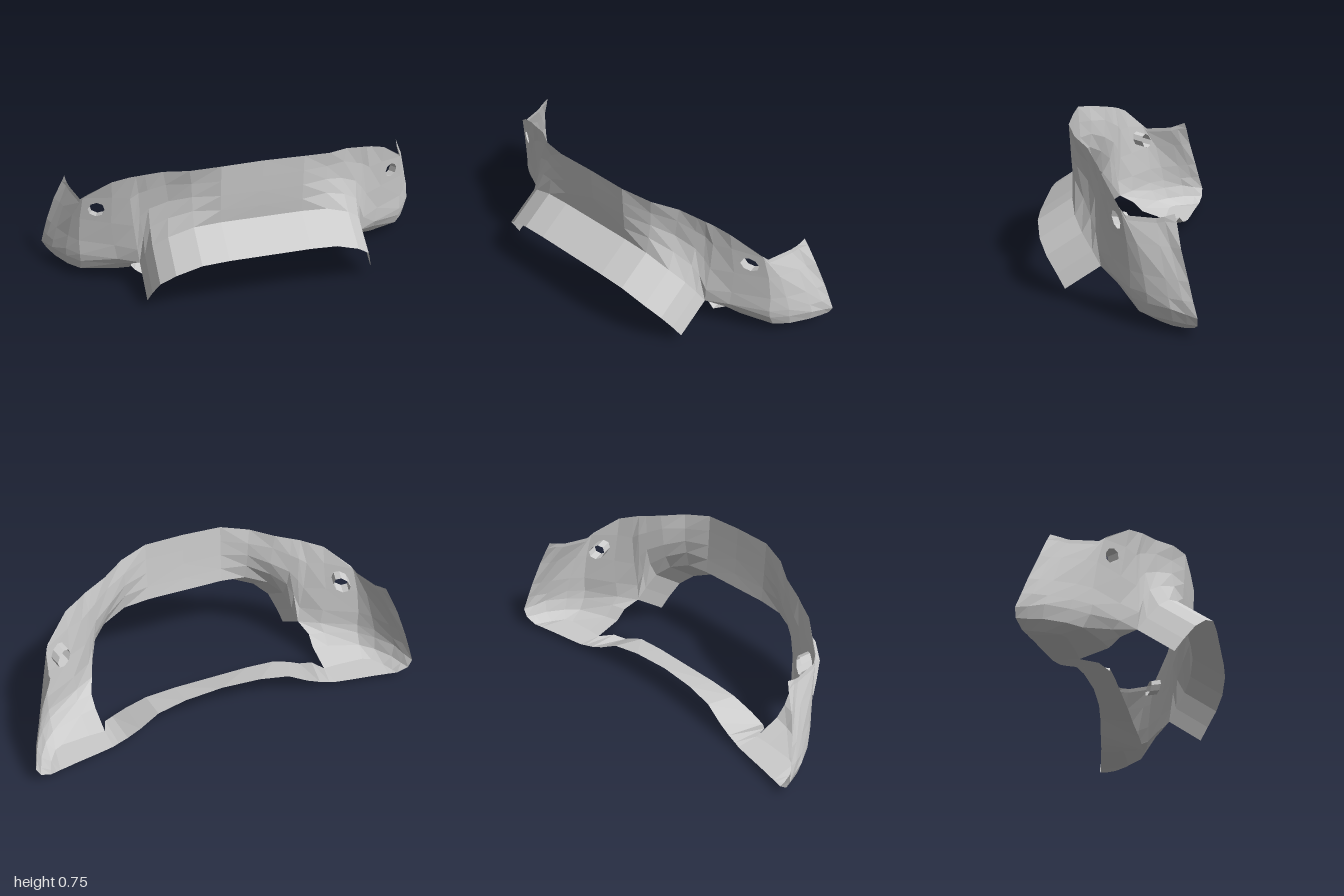
import * as THREE from 'three';

const material = new THREE.MeshStandardMaterial({ color: 0xcccccc, flatShading: true, side: THREE.DoubleSide });

const V = (p) => new THREE.Vector3(...p);

// Point inside a four-cornered cell; u runs across the columns, v down the rows
function inCell([a, b, c, d], u, v) {
  return V(a).lerp(V(d), u).lerp(V(b).lerp(V(c), u), v);
}

// Collects quads and turns them into a mesh, on one side or mirrored
function makeMesh(name, quads, sign) {
  const pos = [];
  for (const [a, b, c, d] of quads) {
    const tris = sign > 0 ? [a, b, c, a, c, d] : [a, c, b, a, d, c];
    for (const p of tris) pos.push(p[0] * sign, p[1], p[2]);
  }
  const g = new THREE.BufferGeometry();
  g.setAttribute('position', new THREE.Float32BufferAttribute(pos, 3));
  g.computeVertexNormals();
  const mesh = new THREE.Mesh(g, material);
  mesh.name = name;
  return mesh;
}

// Skin between neighbouring columns of points, leaving out one cell if asked
function skin(cols, skip = () => false) {
  const quads = [];
  for (let i = 0; i < cols.length - 1; i++)
    for (let j = 0; j < cols[i].length - 1; j++)
      if (!skip(i, j)) quads.push([cols[i][j], cols[i][j + 1], cols[i + 1][j + 1], cols[i + 1][j]]);
  return quads;
}

// Hood: columns from the upper edge down to the opening, centre outwards
const hood = [
  [[0, .745, .245], [0, .66, .24], [0, .58, .235], [0, .5, .228], [0, .43, .22]],
  [[.2, .74, .243], [.2, .66, .238], [.2, .58, .233], [.2, .5, .227], [.2, .43, .22]],
  [[.34, .715, .2], [.33, .64, .19], [.33, .57, .19], [.33, .5, .2], [.33, .42, .215]],
  [[.45, .69, .13], [.44, .62, .13], [.43, .53, .13], [.44, .45, .15], [.45, .37, .19]],
  [[.53, .67, .1], [.52, .58, .09], [.52, .48, .09], [.52, .39, .11], [.52, .31, .15]],
  [[.57, .66, .085], [.56, .56, .07], [.56, .43, .07], [.55, .33, .085], [.55, .235, .1]],
];

// Wing front: columns from the upper edge down and under to the rear edge
const wingFront = [
  [[.6, .65, .07], [.6, .53, .06], [.59, .38, .06], [.58, .25, .07], [.57, .17, .06],
    [.6, .125, -.01], [.6, .075, -.06], [.6, .03, -.19], [.6, .03, -.31]],
  [[.68, .62, .04], [.68, .53, .025], [.69, .38, .005], [.68, .25, 0], [.67, .17, 0],
    [.68, .125, -.03], [.68, .07, -.075], [.68, .03, -.19], [.68, .03, -.325]],
  [[.8, .52, -.04], [.81, .505, -.05], [.83, .38, -.075], [.84, .25, -.09], [.84, .17, -.09],
    [.84, .125, -.1], [.84, .065, -.13], [.82, .03, -.2], [.8, .03, -.345]],
];

// Wing side: columns going back to the rear rim
const wingSide = [
  [[.82, .49, -.07], [.825, .47, -.075], [.86, .38, -.12], [.885, .25, -.15], [.9, .17, -.165],
    [.9, .125, -.17], [.895, .065, -.19], [.86, .03, -.22], [.85, .03, -.355]],
  [[.85, .49, -.2], [.855, .47, -.205], [.89, .38, -.22], [.93, .25, -.245], [.95, .17, -.26],
    [.96, .125, -.27], [.945, .065, -.28], [.9, .025, -.28], [.88, .03, -.36]],
  [[.86, .5, -.235], [.865, .48, -.24], [.9, .38, -.265], [.95, .25, -.3], [.975, .17, -.32],
    [.98, .11, -.335], [.965, .06, -.34], [.92, .025, -.335], [.9, .03, -.365]],
  [[.865, .515, -.28], [.88, .48, -.29], [.925, .38, -.31], [.965, .25, -.345], [.985, .17, -.365],
    [1, .1, -.385], [.98, .06, -.385], [.93, .03, -.37], [.93, .03, -.37]],
];

// Lower bar: rear and front edge points, centre outwards
const bar = [
  [[0, .14, -.24], [0, .1, -.1]],
  [[.2, .135, -.25], [.2, .1, -.1]],
  [[.35, .12, -.27], [.35, .09, -.1]],
  [[.45, .07, -.285], [.45, .04, -.08]],
  [[.52, .045, -.295], [.52, 0, -.07]],
  [[.57, .035, -.303], [.57, .02, -.11]],
  [[.6, .03, -.31], [.6, .03, -.19]],
];

export function createModel() {
  const model = new THREE.Group();
  model.name = 'cowl';

  const wing = [...wingFront, ...wingSide];
  const hoodCols = [...hood, wingFront[0].slice(0, 5)];
  const visor = hoodCols.map((col) => {
    const [x, y, z] = col[4];
    return [[x, y, z], [x, y - .115, z + .165]];
  });

  // Round hole in one wing cell: ring around it and a short sleeve behind it
  const cell = [wing[1][1], wing[1][2], wing[2][2], wing[2][1]];
  const ring = [], sleeve = [];
  const rim = (k) => {
    const a = (k * Math.PI) / 4, c = Math.cos(a), s = Math.sin(a), m = Math.max(Math.abs(c), Math.abs(s));
    const edge = inCell(cell, .5 + .5 * c / m, .5 + .5 * s / m).toArray();
    const hole = inCell(cell, .5 + .28 * c, .5 + .29 * s).toArray();
    return { edge, hole, back: [hole[0] - .015, hole[1] - .01, hole[2] - .05] };
  };
  for (let k = 0; k < 8; k++) {
    const p = rim(k), q = rim(k + 1);
    ring.push([p.edge, p.hole, q.hole, q.edge]);
    sleeve.push([p.hole, p.back, q.back, q.hole]);
  }

  for (const sign of [1, -1]) {
    const side = sign > 0 ? 'left' : 'right';
    const wingQuads = [...skin(wing, (i, j) => i === 1 && j === 1), ...ring];
    model.add(
      makeMesh(side + 'Hood', skin(hoodCols), sign),
      makeMesh(side + 'Wing', wingQuads, sign),
      makeMesh(side + 'HoleSleeve', sleeve, sign),
      makeMesh(side + 'Visor', skin(visor), sign),
      makeMesh(side + 'LowerBar', skin(bar), sign),
    );
  }
  return model;
}
